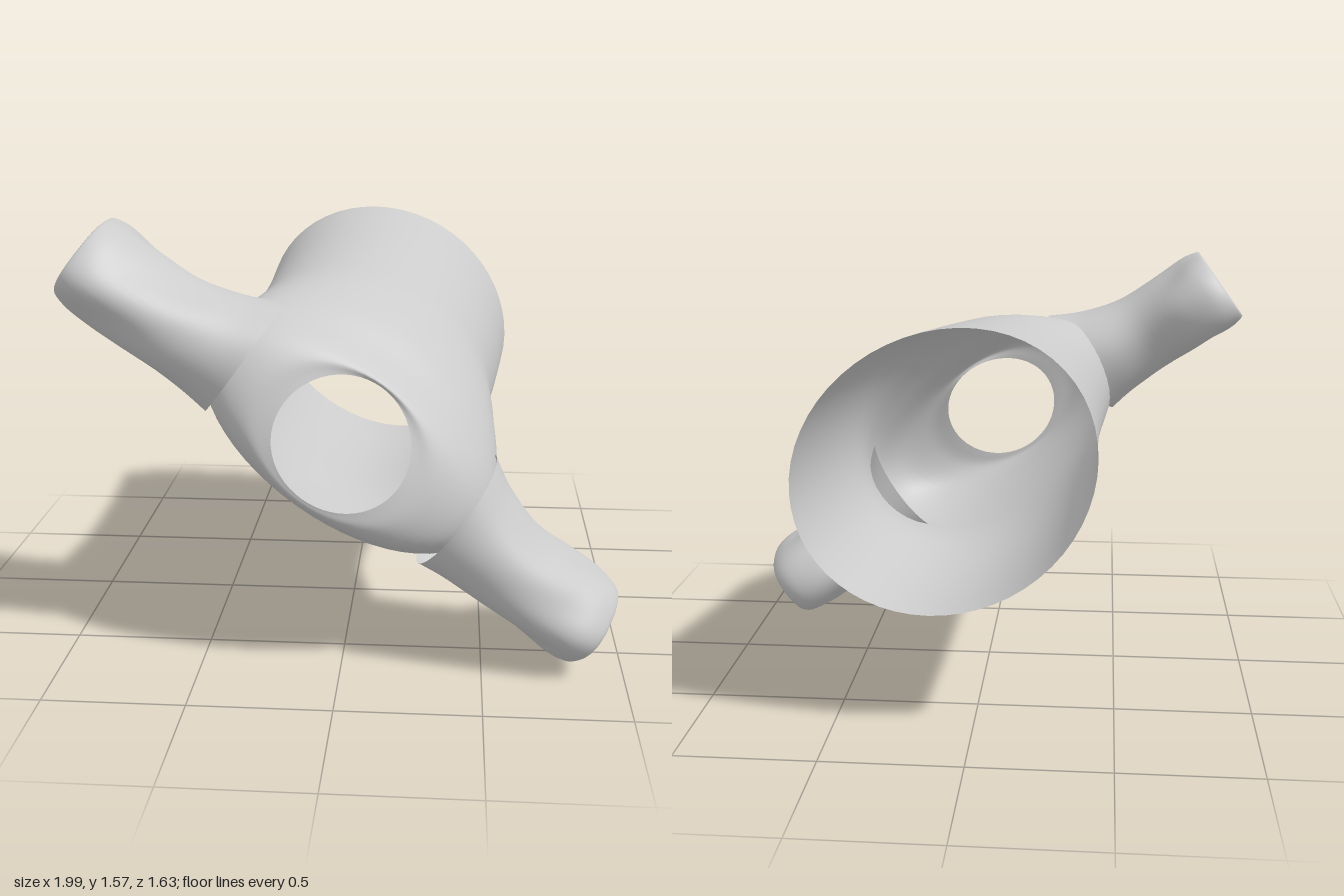
import * as THREE from 'three';

const material = new THREE.MeshStandardMaterial({ color: 0xcccccc, side: THREE.DoubleSide });

// Smooth open tube through rings. Each ring is an array of numbers;
// place(ring, angle) returns the point [x, y, z] on that ring.
function loft(name, rings, place, steps = 5, sides = 56) {
  const pos = [], index = [];
  const curves = rings[0].map((_, k) =>
    new THREE.CatmullRomCurve3(rings.map((r, i) => new THREE.Vector3(i, r[k], 0)), false, 'catmullrom', 0.5));
  const rows = (rings.length - 1) * steps;
  for (let i = 0; i <= rows; i++) {
    const ring = curves.map(c => c.getPoint(i / rows).y);
    for (let j = 0; j < sides; j++) pos.push(...place(ring, j / sides * Math.PI * 2));
  }
  for (let i = 0; i < rows; i++) {
    for (let j = 0; j < sides; j++) {
      const k = (j + 1) % sides;
      const a = i * sides + j, b = i * sides + k, c = a + sides, d = b + sides;
      index.push(a, b, d, a, d, c);
    }
  }
  const geo = new THREE.BufferGeometry();
  geo.setAttribute('position', new THREE.Float32BufferAttribute(pos, 3));
  geo.setIndex(index);
  geo.computeVertexNormals();
  const mesh = new THREE.Mesh(geo, material);
  mesh.name = name;
  return mesh;
}

export function createModel() {
  const model = new THREE.Group();
  model.name = 'garment';

  // Local frame: x along the sleeves, y towards the chest, z from hem to neck
  const garment = new THREE.Group();
  garment.name = 'tiltedGarment';
  garment.position.y = 0.79;
  garment.rotation.z = -0.632;
  model.add(garment);

  // Body: z, centre x, centre y, half width, half depth, neckline drop, hem wave
  const body = [
    [-0.80, -0.02, 0.18, 0.54, 0.47, 0, 0.02],
    [-0.40, -0.02, 0.15, 0.515, 0.455, 0, 0],
    [0.00, -0.03, 0.12, 0.50, 0.43, 0, 0],
    [0.25, -0.02, 0.10, 0.53, 0.41, 0, 0],
    [0.45, -0.01, 0.07, 0.575, 0.365, 0.1, 0],
    [0.60, -0.01, 0.05, 0.575, 0.31, 0.4, 0],
    [0.71, -0.02, 0.05, 0.50, 0.265, 0.7, 0],
    [0.765, -0.03, 0.055, 0.36, 0.238, 0.9, 0],
    [0.77, -0.03, 0.06, 0.24, 0.22, 1, 0],
  ];
  garment.add(loft('body', body, ([z, cx, cy, a, b, drop, wave], t) => {
    const s = Math.sin(t);
    return [cx + a * Math.cos(t), cy + b * s,
      z - drop * (0.07 * s + 0.03 * s * s) + wave * Math.cos(2 * t + 0.6)];
  }));

  // Sleeve: x, centre y, centre z, half height (y), half depth (z), wrinkle size
  // The last rings turn the cuff inwards.
  const sleeve = [
    [0.46, 0.05, 0.54, 0.235, 0.235, 0],
    [0.58, 0.025, 0.54, 0.195, 0.235, 0],
    [0.75, 0.0, 0.54, 0.165, 0.235, 0.004],
    [0.93, -0.01, 0.50, 0.165, 0.265, 0.008],
    [1.05, -0.01, 0.49, 0.17, 0.268, 0.006],
    [1.115, -0.01, 0.49, 0.155, 0.235, 0.004],
    [1.08, -0.01, 0.49, 0.135, 0.205, 0.006],
    [0.92, -0.01, 0.51, 0.125, 0.195, 0.01],
  ];
  for (const [side, name] of [[1, 'leftSleeve'], [-1, 'rightSleeve']]) {
    garment.add(loft(name, sleeve, ([x, cy, cz, h, d, w], t) => {
      const fold = w * Math.sin(5 * t + 9 * x + side);
      return [side * x, cy + (h + fold) * Math.sin(t), cz - side * (d + fold) * Math.cos(t)];
    }));
  }
  return model;
}
